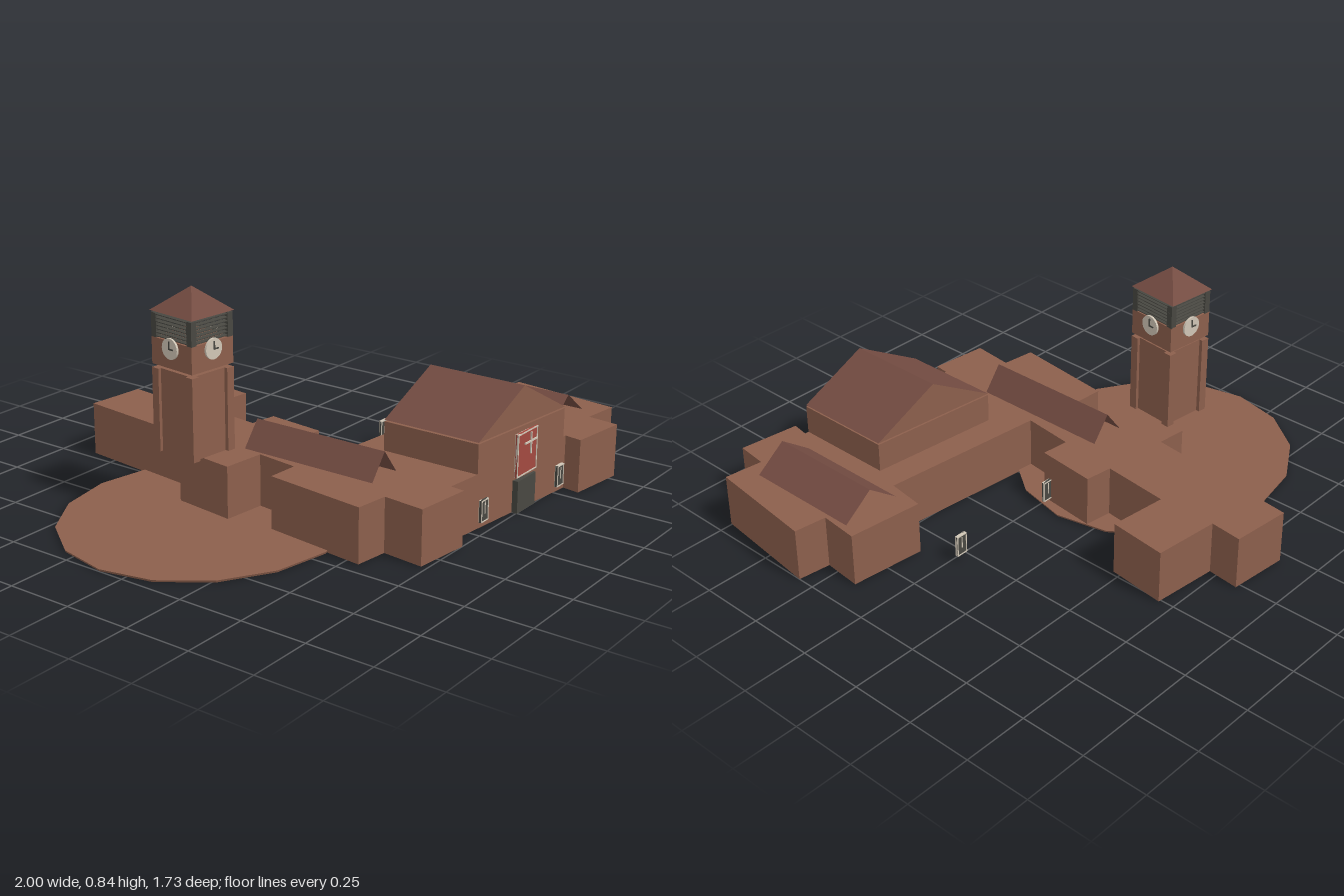
import * as THREE from 'three';

const mat = (name, color) => {
  const m = new THREE.MeshStandardMaterial({ color, side: THREE.DoubleSide });
  m.name = name;
  return m;
};

export function createModel() {
  const root = new THREE.Group();
  root.name = 'stationBuilding';
  const brick = mat('brick', 0x8c5f4c), roof = mat('roofTile', 0x744c42);
  const dark = mat('darkMetal', 0x484741), cream = mat('cream', 0xd0c6b6);
  const red = mat('redPanel', 0xa34a40);

  const add = (parent, name, geo, material, x = 0, y = 0, z = 0) => {
    const m = new THREE.Mesh(geo, material);
    m.name = name;
    m.position.set(x, y, z);
    parent.add(m);
    return m;
  };
  const box = (parent, name, material, w, h, d, x, y, z) =>
    add(parent, name, new THREE.BoxGeometry(w, h, d), material, x, y, z);
  // flat polygons of three or four corners
  const faces = (polys) => {
    const p = [];
    for (const q of polys) {
      for (let i = 1; i < q.length - 1; i++) p.push(...q[0], ...q[i], ...q[i + 1]);
    }
    const g = new THREE.BufferGeometry();
    g.setAttribute('position', new THREE.Float32BufferAttribute(p, 3));
    g.computeVertexNormals();
    return g;
  };
  // flat-topped block over an outline of [x, z] corners, open below
  const block = (name, outline, y0, y1) => {
    const walls = outline.map(([x, z], i) => {
      const [x2, z2] = outline[(i + 1) % outline.length];
      return [[x, y0, z], [x, y1, z], [x2, y1, z2], [x2, y0, z2]];
    });
    add(root, name + 'Walls', faces(walls), brick);
    const shape = new THREE.Shape(outline.map(([x, z]) => new THREE.Vector2(x, -z)));
    add(root, name + 'Top', new THREE.ShapeGeometry(shape).rotateX(-Math.PI / 2), brick, 0, y1, 0);
  };

  // round forecourt with a dark underside
  const disc = new THREE.CylinderGeometry(0.56, 0.557, 0.008, 16).toNonIndexed();
  disc.computeVertexNormals();
  add(root, 'forecourt', disc, [brick, brick, dark], -0.44, 0.004, -0.1).scale.z = 0.92;

  // low winged building
  block('mainBlock', [
    [-0.21, -0.865], [0.02, -0.843], [0.007, -0.72], [0.26, -0.694], [0.235, -0.47],
    [0.012, -0.495], [-0.016, -0.235], [0.09, -0.22], [0.066, 0.012], [-0.04, 0],
    [-0.064, 0.2], [0.583, 0.267], [0.603, 0.12], [0.89, 0.15], [0.876, 0.3],
    [1, 0.316], [0.948, 0.755], [0.8, 0.737], [0.786, 0.86], [0.555, 0.832],
    [0.566, 0.765], [-0.105, 0.695], [-0.112, 0.75], [-0.332, 0.727], [-0.315, 0.567],
    [-0.443, 0.551], [-0.397, 0.15], [-0.277, 0.157], [-0.256, -0.01], [-0.42, -0.027],
    [-0.39, -0.272], [-0.277, -0.26],
  ], 0, 0.205);

  // raised hall with its gabled roof
  const hall = [[0.04, 0.32], [0.55, 0.372], [0.55, 0.764], [0.04, 0.711]];
  block('hall', hall, 0.205, 0.316);
  const [bl, br, fr, fl] = hall.map(([x, z]) => [x, 0.322, z]);
  const rb = [0.295, 0.467, 0.346], rf = [0.295, 0.467, 0.738];
  add(root, 'hallRoof', faces([[fl, rf, rb, bl], [fr, br, rb, rf]]), roof);
  add(root, 'hallGables', faces([[fl, fr, rf], [br, bl, rb]]), brick);

  // small ridge roofs with open ends
  const ridge = (name, x0, x1, xm, z0, z1, h) => {
    const y = 0.206;
    add(root, name, faces([
      [[x0, y, z0], [x0, y, z1], [xm, h, z1], [xm, h, z0]],
      [[x1, y, z1], [x1, y, z0], [xm, h, z0], [xm, h, z1]],
    ]), roof);
  };
  ridge('rightRidgeRoof', -0.245, -0.1, -0.172, -0.088, 0.467, 0.3);
  ridge('leftRidgeRoof', 0.625, 0.86, 0.743, 0.21, 0.675, 0.295);

  // framed openings
  const opening = (name, fill, w, h, x, y, z, t = 0.005) => {
    const g = new THREE.Group();
    g.name = name;
    g.position.set(x, y, z);
    root.add(g);
    box(g, 'panel', fill, w, h, 0.009, 0, 0, 0);
    for (const s of [-1, 1]) {
      box(g, 'frameSide', cream, t, h, 0.013, s * (w - t) / 2, 0, 0);
      box(g, 'frameRail', cream, w, t, 0.013, 0, s * (h - t) / 2, 0);
    }
    return g;
  };
  for (const [x, z] of [[0.075, 0.719], [0.525, 0.768], [0.085, -0.02], [0.537, -0.02]]) {
    const g = opening('window', dark, 0.046, 0.082, x, 0.064, z, 0.004);
    box(g, 'mullion', cream, 0.004, 0.045, 0.013, 0, 0.01, 0);
  }
  box(root, 'door', dark, 0.125, 0.122, 0.024, 0.31, 0.061, 0.742);
  opening('redWindow', red, 0.137, 0.163, 0.31, 0.217, 0.746);
  box(root, 'crossBar', cream, 0.085, 0.006, 0.005, 0.31, 0.262, 0.765);
  box(root, 'crossPost', cream, 0.006, 0.08, 0.005, 0.31, 0.255, 0.765);

  // clock tower
  const tower = new THREE.Group();
  tower.name = 'clockTower';
  tower.position.set(-0.433, 0, -0.163);
  tower.rotation.y = -0.11;
  root.add(tower);
  box(tower, 'shaft', brick, 0.174, 0.305, 0.174, 0, 0.397, 0);
  box(tower, 'clockStage', brick, 0.196, 0.098, 0.2, 0, 0.612, 0);
  for (const sx of [-1, 1]) {
    for (const sz of [-1, 1]) {
      box(tower, 'cornerPier', brick, 0.032, 0.305, 0.032, sx * 0.083, 0.397, sz * 0.085);
      box(tower, 'belfryPost', dark, 0.024, 0.088, 0.024, sx * 0.086, 0.704, sz * 0.088);
    }
  }
  for (let side = 0; side < 4; side++) {
    const g = new THREE.Group();
    g.name = 'towerSide';
    g.rotation.y = side * Math.PI / 2;
    tower.add(g);
    for (let i = 0; i < 7; i++) {
      const slat = box(g, 'louvre', dark, 0.18, 0.003, 0.016, 0, 0.668 + i * 0.0128, 0.09);
      slat.rotation.x = 0.15;
    }
    // clock face and hands
    const face = new THREE.CylinderGeometry(0.038, 0.038, 0.008, 20).rotateX(Math.PI / 2);
    add(g, 'clockFace', face, cream, 0, 0.637, 0.104);
    box(g, 'minuteHand', dark, 0.005, 0.03, 0.004, 0, 0.65, 0.109);
    box(g, 'hourHand', dark, 0.022, 0.005, 0.004, 0.009, 0.637, 0.109);
  }
  // pyramid roof, open below
  const c = [[-0.1, -0.106], [-0.1, 0.106], [0.1, 0.106], [0.1, -0.106]];
  add(tower, 'towerRoof', faces(c.map(([x, z], i) => {
    const [x2, z2] = c[(i + 1) % 4];
    return [[x, 0.754, z], [x2, 0.754, z2], [0, 0.84, 0]];
  })), roof);

  return root;
}
